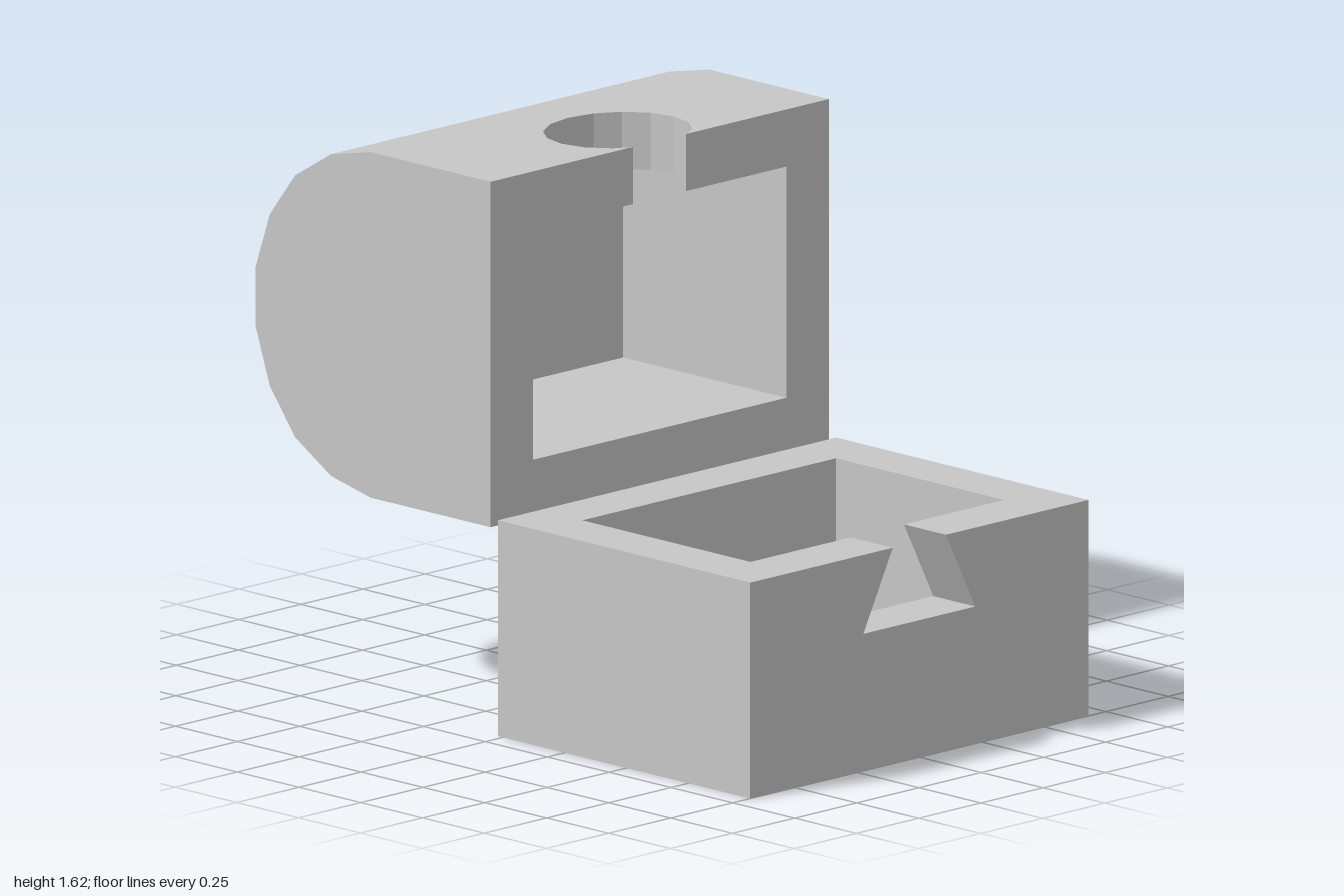
import * as THREE from 'three';

const HALF = 0.68;      // half width of the chest
const INNER = 0.51;     // half width of the cavities
const WALL = HALF - INNER;

// Extrude a closed outline along z by the given depth
function extrude(points, depth) {
  const shape = new THREE.Shape(points.map(([x, y]) => new THREE.Vector2(x, y)));
  return new THREE.ExtrudeGeometry(shape, { depth, bevelEnabled: false });
}
// Outline in (-z, y), extruded along x from x0
const alongX = (points, x0, width) => extrude(points, width).rotateY(Math.PI / 2).translate(x0, 0, 0);
// Outline in (x, -z), extruded along y from y0
const alongY = (points, y0, height) => extrude(points, height).rotateX(-Math.PI / 2).translate(0, y0, 0);

export function createModel() {
  const grey = new THREE.MeshStandardMaterial({ color: 0xc6c6c6, flatShading: true });
  grey.name = 'plain grey';

  const model = new THREE.Group();
  model.name = 'chest';
  const base = new THREE.Group();
  base.name = 'base';
  const lid = new THREE.Group();
  lid.name = 'lid';
  model.add(base, lid);

  const add = (group, name, geometry) => {
    const mesh = new THREE.Mesh(geometry, grey);
    mesh.name = name;
    group.add(mesh);
  };

  // Base: floor, U of side and back walls, front wall with dovetail notch
  const top = 0.635, floor = 0.07, back = -0.02, front = 1, inFront = 0.83, inBack = 0.15;
  add(base, 'baseFloor',
    new THREE.BoxGeometry(2 * HALF, floor, inFront - back).translate(0, floor / 2, (inFront + back) / 2));
  add(base, 'baseWalls', alongY([
    [-HALF, -inFront], [-INNER, -inFront], [-INNER, -inBack], [INNER, -inBack],
    [INNER, -inFront], [HALF, -inFront], [HALF, -back], [-HALF, -back],
  ], floor, top - floor));
  add(base, 'baseFrontWall', extrude([
    [-HALF, 0], [HALF, 0], [HALF, top], [0.107, top], [0.225, 0.403],
    [-0.225, 0.403], [-0.107, top], [-HALF, top],
  ], front - inFront).translate(0, 0, inFront));

  // Lid: faceted D profile in (-z, y), mirrored about its middle height
  const mid = 1.117, lidTop = 1.625, lidFront = 0.05, bend = 0.535;
  const upperArc = [[bend, lidTop], [0.695, 1.59], [0.84, 1.502], [0.942, 1.37], [1, 1.203]];
  const lowerArc = upperArc.map(([u, v]) => [u, 2 * mid - v]).reverse();
  const arc = [...upperArc, ...lowerArc];
  const lidBottom = 2 * mid - lidTop;
  const cavityLow = 0.777, cavityHigh = 1.457, cavityBack = 0.71;

  // Solid end blocks
  const profile = [[lidFront, lidBottom], [lidFront, lidTop], ...arc];
  add(lid, 'lidRightEnd', alongX(profile, -HALF, WALL));
  add(lid, 'lidLeftEnd', alongX(profile, INNER, WALL));

  // Middle shell around the cavity
  add(lid, 'lidShell', alongX([
    [lidFront, lidBottom], [lidFront, cavityLow], [cavityBack, cavityLow],
    [cavityBack, cavityHigh], [bend, cavityHigh], ...arc,
  ], -INNER, 2 * INNER));

  // Top plate with the round socket that opens at the front edge
  const socket = [];
  for (let k = 2; k <= 14; k++) {
    const a = k * Math.PI / 8;
    socket.push([-0.225 * Math.sin(a), 0.22 - 0.2 * Math.cos(a)]);
  }
  add(lid, 'lidTopPlate', alongY([
    [-INNER, lidFront], [-0.107, lidFront], ...socket, [0.107, lidFront],
    [INNER, lidFront], [INNER, bend], [-INNER, bend],
  ], cavityHigh, lidTop - cavityHigh));

  return model;
}
